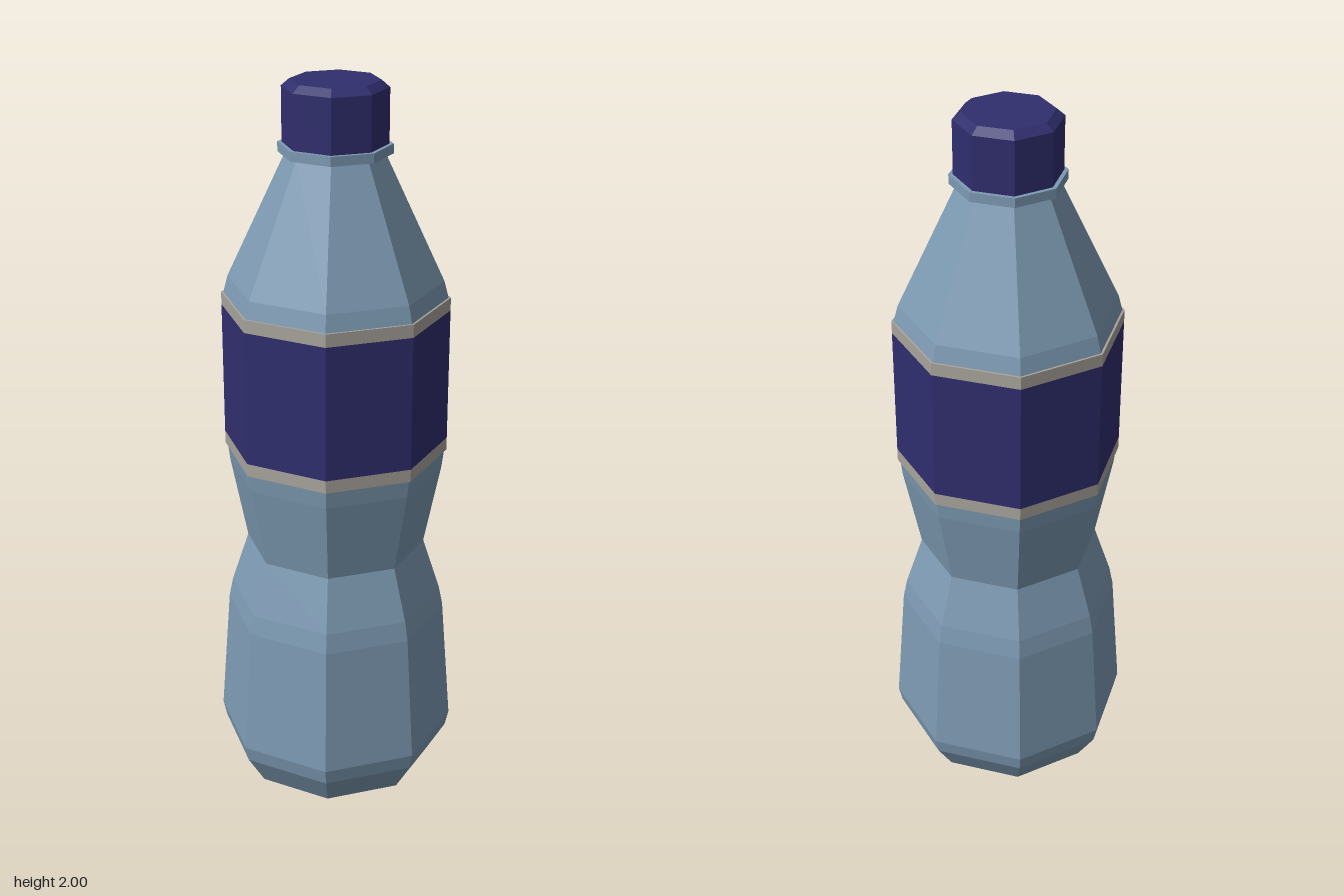
import * as THREE from 'three';

const SIDES = 8;

export function createModel() {
  const group = new THREE.Group();
  group.name = 'bottle';

  const material = (color) =>
    new THREE.MeshStandardMaterial({ color, flatShading: true });
  const plastic = material(0x7d9ab3);
  const navy = material(0x302e6e);
  const trim = material(0xa8a39c);

  // Eight-sided turned part from [radius, height] pairs, listed bottom to top
  function turned(name, profile, mat) {
    const points = profile.map(([r, y]) => new THREE.Vector2(r, y));
    const mesh = new THREE.Mesh(new THREE.LatheGeometry(points, SIDES), mat);
    mesh.name = name;
    group.add(mesh);
  }

  // Body: rounded foot, pinched waist, label zone and tapering shoulder
  turned('body', [
    [0, 0], [0.23, 0], [0.268, 0.025], [0.322, 0.115], [0.332, 0.16],
    [0.304, 0.52], [0.293, 0.575], [0.246, 0.72], [0.291, 0.95],
    [0.297, 1.0], [0.297, 1.435], [0.285, 1.48], [0.128, 1.815], [0.128, 1.84],
  ], plastic);

  // Label with a thin trim band at each edge
  const r = 0.303;
  turned('lowerLabelTrim', [[0.295, 1.0], [r, 1.0], [r, 1.035]], trim);
  turned('label', [[r, 1.035], [r, 1.4]], navy);
  turned('upperLabelTrim', [[r, 1.4], [r, 1.435], [0.295, 1.435]], trim);

  // Neck collar under the cap
  turned('neckCollar', [[0.12, 1.815], [0.148, 1.815], [0.148, 1.84], [0.12, 1.84]], plastic);

  // Cap with a bevelled top edge
  turned('cap', [[0.12, 1.84], [0.137, 1.84], [0.137, 1.982], [0.116, 2.0], [0, 2.0]], navy);

  return group;
}
